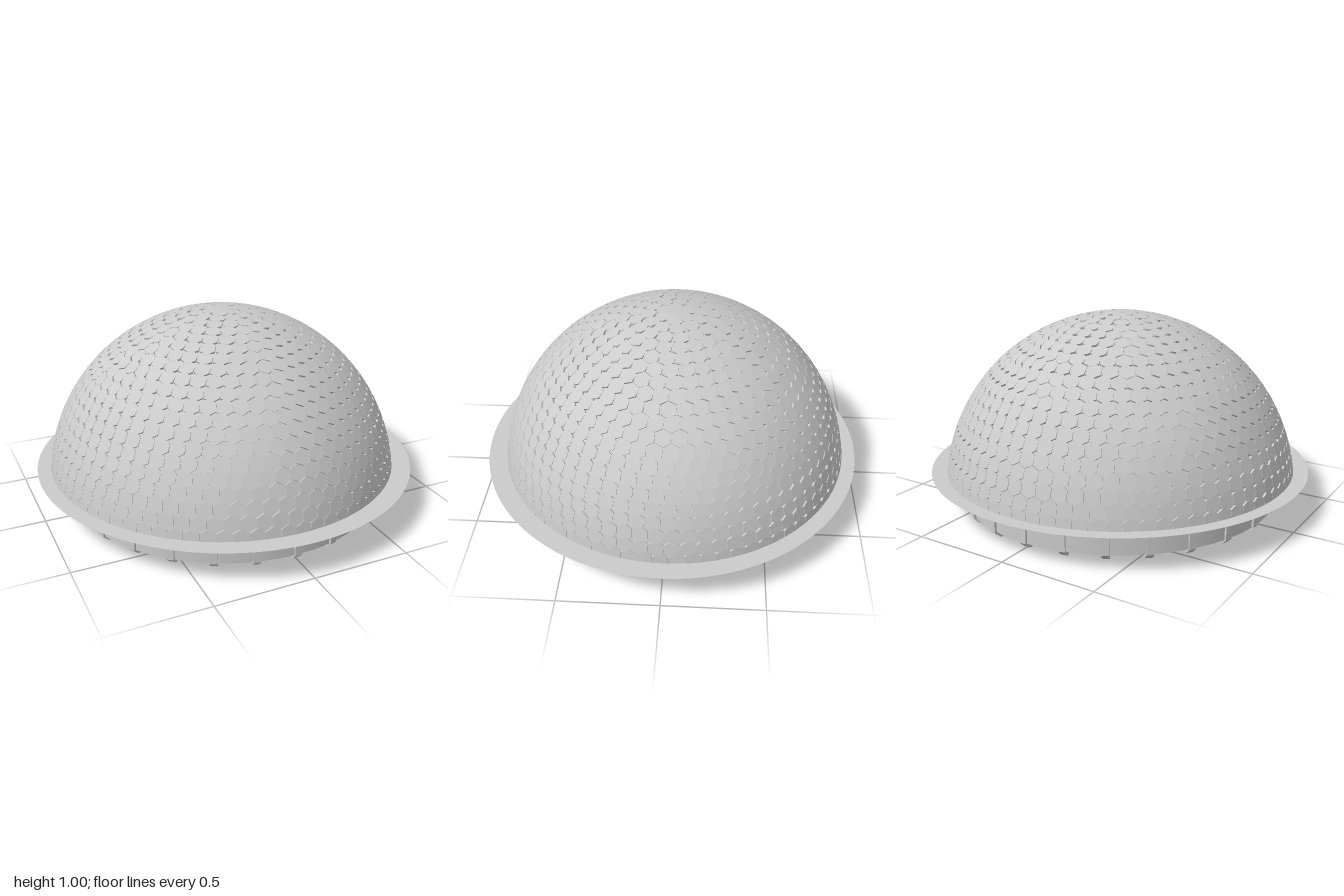
import * as THREE from 'three';
import { mergeGeometries } from 'three/addons/utils/BufferGeometryUtils.js';

const smooth = new THREE.MeshStandardMaterial({ color: 0xcccccc, side: THREE.DoubleSide });
const faceted = new THREE.MeshStandardMaterial({ color: 0xcccccc, flatShading: true });

const DOME = { x: -0.01, y: 0.085, z: -0.013, r: 0.925, rim: 1.43 };

function addMesh(parent, name, geometry, material = smooth) {
  const mesh = new THREE.Mesh(geometry, material);
  mesh.name = name;
  parent.add(mesh);
  return mesh;
}

function lathe(points, segments = 64) {
  return new THREE.LatheGeometry(points.map(([r, y]) => new THREE.Vector2(r, y)), segments);
}

// Hexagonal plates laid in staggered rows from the rim up to the apex
function hexTiles() {
  const width = 0.075, thick = 0.012;
  const plate = new THREE.CylinderGeometry(width / 1.77, width / 1.77, thick, 6);
  plate.translate(0, -thick / 2, 0);
  const rows = 20, step = DOME.rim / rows;
  const tiles = [];
  for (let row = 0; row <= rows; row++) {
    const theta = row * step;
    const count = Math.max(1, Math.round(2 * Math.PI * DOME.r * Math.sin(theta) / width));
    for (let i = 0; i < count; i++) {
      const phi = (i + (row % 2) / 2) / count * Math.PI * 2;
      const normal = new THREE.Vector3().setFromSphericalCoords(1, theta, phi);
      const down = new THREE.Vector3().setFromSphericalCoords(1, theta + Math.PI / 2, phi);
      const east = new THREE.Vector3().crossVectors(normal, down);
      const matrix = new THREE.Matrix4().makeBasis(east, normal, down);
      matrix.setPosition(normal.multiplyScalar(DOME.r));
      tiles.push(plate.clone().applyMatrix4(matrix));
    }
  }
  return mergeGeometries(tiles);
}

// Upright rib with a slanted foot, drawn as radius against height
function ribGeometry() {
  const side = new THREE.Shape([
    [0.80, 0.01], [0.815, 0.01], [0.848, 0.04], [0.848, 0.2], [0.80, 0.2],
  ].map(([r, y]) => new THREE.Vector2(r, y)));
  const geometry = new THREE.ExtrudeGeometry(side, { depth: 0.036, bevelEnabled: false });
  return geometry.translate(0, 0, -0.018).rotateY(-Math.PI / 2);
}

export function createModel() {
  const model = new THREE.Group();
  model.name = 'tiledDome';

  // Dome shell and its tiles
  const dome = new THREE.Group();
  dome.name = 'dome';
  dome.position.set(DOME.x, DOME.y, DOME.z);
  model.add(dome);
  addMesh(dome, 'domeShell',
    new THREE.SphereGeometry(DOME.r - 0.009, 96, 32, 0, Math.PI * 2, 0, DOME.rim));
  addMesh(dome, 'hexTiles', hexTiles(), faceted);

  // Thin flat brim
  const brim = addMesh(model, 'brim', new THREE.RingGeometry(0.87, 1, 128));
  brim.rotation.x = -Math.PI / 2;
  brim.position.y = 0.2;

  // Drum wall below the dome
  addMesh(model, 'drumWall', new THREE.CylinderGeometry(0.838, 0.838, 0.165, 104, 1, true))
    .position.y = 0.1225;

  // Ribs around the drum
  const ribs = new THREE.Group();
  ribs.name = 'ribs';
  model.add(ribs);
  const rib = ribGeometry();
  const ribCount = 26;
  for (let i = 0; i < ribCount; i++) {
    addMesh(ribs, 'rib', rib, faceted).rotation.y = i / ribCount * Math.PI * 2;
  }

  // Hanging lamp: round collar, flared stem and rod up to the apex
  const lamp = new THREE.Group();
  lamp.name = 'hangingLamp';
  lamp.position.set(DOME.x, 0, DOME.z);
  model.add(lamp);
  addMesh(lamp, 'collarOuter', new THREE.CylinderGeometry(0.133, 0.133, 0.06, 64, 1, true))
    .position.y = 0.04;
  addMesh(lamp, 'collarInner', new THREE.CylinderGeometry(0.122, 0.122, 0.06, 64, 1, true))
    .position.y = 0.04;
  for (const y of [0.01, 0.07]) {
    const lip = addMesh(lamp, 'collarLip', new THREE.RingGeometry(y < 0.05 ? 0.122 : 0.05, 0.133, 64));
    lip.rotation.x = -Math.PI / 2;
    lip.position.y = y;
  }
  addMesh(lamp, 'stem', lathe([
    [0, 0.03], [0.055, 0.03], [0.065, 0.04], [0.065, 0.06], [0.045, 0.09],
    [0.034, 0.16], [0.027, 0.25], [0.022, 0.37], [0, 0.38],
  ], 32));
  addMesh(lamp, 'rod', new THREE.CylinderGeometry(0.014, 0.014, 0.64, 16)).position.y = 0.68;

  return model;
}
